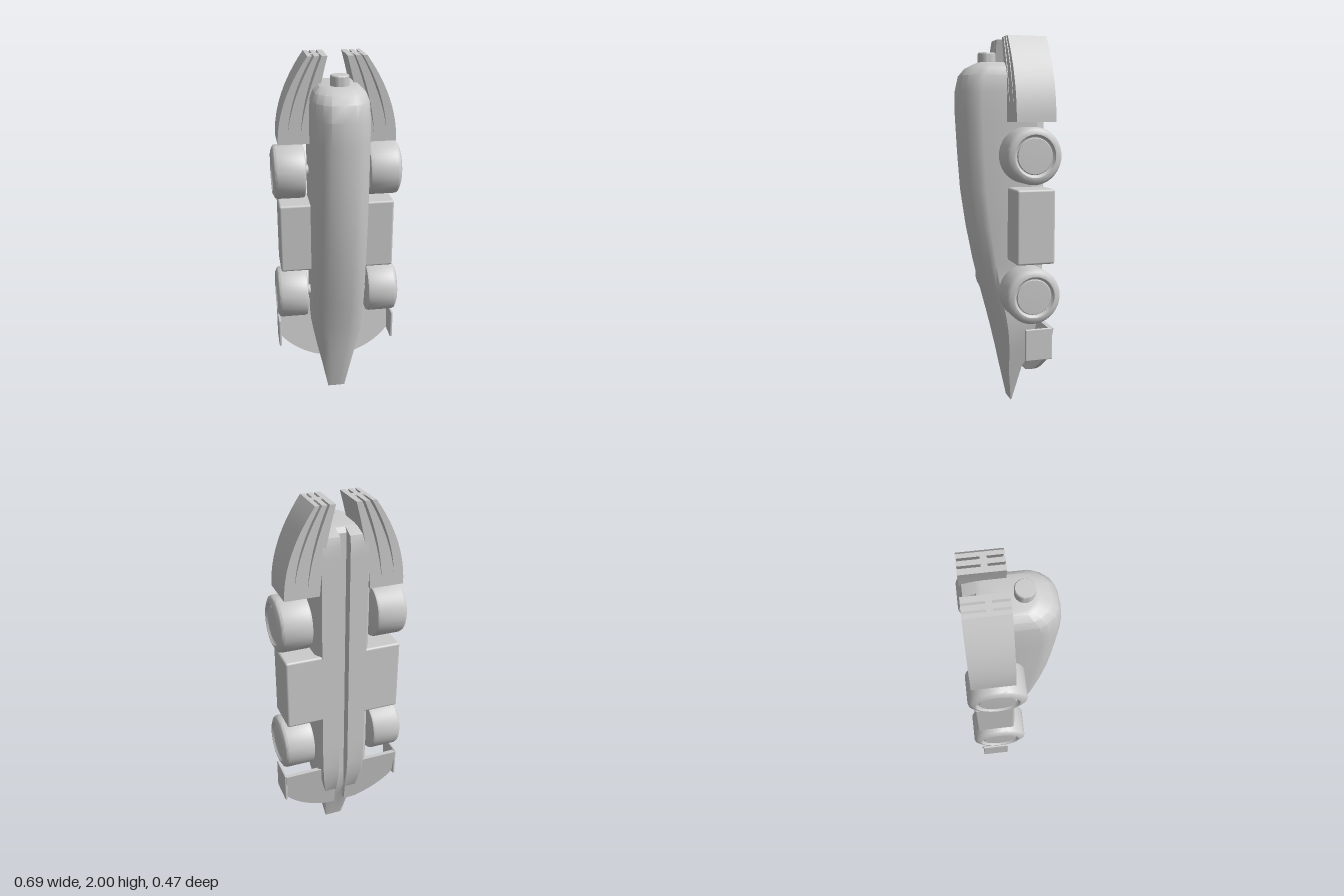
import * as THREE from 'three';
import { toCreasedNormals } from 'three/addons/utils/BufferGeometryUtils.js';
import { RoundedBoxGeometry } from 'three/addons/geometries/RoundedBoxGeometry.js';

const material = new THREE.MeshStandardMaterial({ color: 0xcccccc, side: THREE.DoubleSide });

function part(name, geometry, x = 0, y = 0, z = 0) {
  const mesh = new THREE.Mesh(geometry, material);
  mesh.name = name;
  mesh.position.set(x, y, z);
  return mesh;
}

// Hull lofted through sections: height, half width, front z, back z
function hullGeometry() {
  const stations = [
    [0, 0.05, -0.052, -0.058], [0.2, 0.09, -0.005, -0.11], [0.3, 0.113, 0.015, -0.17],
    [0.42, 0.137, 0.042, -0.2], [0.5, 0.143, 0.062, -0.21], [0.65, 0.147, 0.102, -0.21],
    [0.8, 0.147, 0.14, -0.21], [1, 0.147, 0.18, -0.21], [1.2, 0.147, 0.21, -0.21],
    [1.4, 0.147, 0.225, -0.21], [1.6, 0.147, 0.236, -0.21], [1.72, 0.147, 0.236, -0.21],
    [1.8, 0.142, 0.218, -0.21], [1.84, 0.127, 0.185, -0.2], [1.865, 0.1, 0.135, -0.14],
    [1.87, 0.08, 0.12, -0.12],
  ];
  const positions = [], index = [];
  let n = 0;
  for (const [y, w, front, back] of stations) {
    const floor = Math.max(back, -0.155), depth = front - back;
    const half = [
      [0, floor], [0.025, floor], [0.025, back], [w * 0.82, back], [w, back + depth * 0.1],
      [w, back + depth * 0.77], [w * 0.9, back + depth * 0.85], [w * 0.68, back + depth * 0.94],
      [w * 0.42, back + depth * 0.99], [0, front],
    ];
    const loop = [...half, ...half.slice(1, -1).reverse().map(([x, z]) => [-x, z])];
    n = loop.length;
    for (const [x, z] of loop) positions.push(x, y, z);
  }
  for (let i = 0; i < stations.length - 1; i++) {
    for (let j = 0; j < n; j++) {
      const a = i * n + j, b = i * n + (j + 1) % n;
      index.push(a, a + n, b, b, a + n, b + n);
    }
  }
  // end caps
  for (const i of [0, stations.length - 1]) {
    const [y, , front, back] = stations[i];
    const c = positions.length / 3;
    positions.push(0, y, (front + back) / 2);
    for (let j = 0; j < n; j++) {
      const a = i * n + j, b = i * n + (j + 1) % n;
      if (i === 0) index.push(c, a, b); else index.push(c, b, a);
    }
  }
  const g = new THREE.BufferGeometry();
  g.setAttribute('position', new THREE.Float32BufferAttribute(positions, 3));
  g.setIndex(index);
  return toCreasedNormals(g, 0.5);
}

// Curved tail fin outline, optionally slit from the top into blades
function finGeometry(slits, depth) {
  const steps = 12;
  const point = (f, t) => {
    const outer = 0.31 - 0.16 * t * t, inner = 0.13 - 0.08 * Math.pow(t, 1.5);
    return new THREE.Vector2(inner + (outer - inner) * f, 1.56 + 0.44 * t);
  };
  const pts = [];
  for (let i = 0; i <= steps; i++) pts.push(point(1, i / steps));
  for (const [f, start] of slits) {
    for (let i = steps; i >= 0; i--) {
      const u = i / steps;
      pts.push(point(f + 0.06 * u, start + (1 - start) * u));
    }
    for (let i = 1; i <= steps; i++) {
      const u = i / steps;
      pts.push(point(f - 0.06 * u, start + (1 - start) * u));
    }
  }
  for (let i = steps; i >= 0; i--) pts.push(point(0, i / steps));
  const g = new THREE.ExtrudeGeometry(new THREE.Shape(pts), { depth, bevelEnabled: false });
  return toCreasedNormals(g, 0.5);
}

// Wheel with rounded shoulders and a ring groove around the hub disc
function wheelGeometry() {
  const profile = [
    [0, 0], [0.13, 0], [0.142, 0.004], [0.146, 0.014], [0.146, 0.15], [0.142, 0.16], [0.132, 0.166],
    [0.115, 0.174], [0.108, 0.174], [0.1, 0.162], [0.094, 0.16], [0.09, 0.166], [0, 0.168],
  ].map(([r, h]) => new THREE.Vector2(r, h));
  const g = new THREE.LatheGeometry(profile, 48);
  g.rotateZ(-Math.PI / 2);
  return toCreasedNormals(g, 0.7);
}

// Half of the swept nose wing, leaning back towards its straight edge
function wingGeometry() {
  const shape = new THREE.Shape();
  shape.moveTo(0.03, 0.185);
  shape.lineTo(0.1, 0.19);
  shape.quadraticCurveTo(0.25, 0.235, 0.33, 0.34);
  shape.lineTo(0.33, 0.49);
  shape.lineTo(0.03, 0.49);
  const g = new THREE.ExtrudeGeometry(shape, { depth: 0.025, bevelEnabled: false, curveSegments: 10 });
  const p = g.attributes.position;
  for (let i = 0; i < p.count; i++) {
    p.setZ(i, p.getZ(i) - 0.15 - 0.05 * (p.getY(i) - 0.19) / 0.3);
  }
  return toCreasedNormals(g, 0.5);
}

// Everything on the model's left side; the right side is its mirror
function buildSide(name) {
  const side = new THREE.Group();
  side.name = name;
  side.add(part('sidePod', new RoundedBoxGeometry(0.215, 0.39, 0.206, 2, 0.012), 0.2075, 1.025, -0.107));

  for (const [label, y] of [['front', 0.665], ['rear', 1.39]]) {
    side.add(part(label + 'Wheel', wheelGeometry(), 0.17, y, -0.09));
    const axle = new THREE.CylinderGeometry(0.03, 0.03, 0.08, 20);
    axle.rotateZ(Math.PI / 2);
    side.add(part(label + 'Axle', axle, 0.15, y, -0.09));
  }

  side.add(part('noseWing', wingGeometry()));
  side.add(part('wingEndPlate', new RoundedBoxGeometry(0.014, 0.17, 0.148, 2, 0.005), 0.333, 0.41, -0.117));

  side.add(part('tailFin', finGeometry([[0.72, 0.15], [0.35, 0.1]], 0.21), 0, 0, -0.21));
  side.add(part('finWeb', finGeometry([], 0.03), 0, 0, -0.108));
  return side;
}

export function createModel() {
  const model = new THREE.Group();
  model.name = 'dragRacer';
  model.add(part('hull', hullGeometry()));

  // Short nozzle on the tail
  const nozzle = new THREE.LatheGeometry(
    [[0.047, 0], [0.047, 0.056], [0.043, 0.062], [0, 0.062]].map(([r, h]) => new THREE.Vector2(r, h)), 32);
  model.add(part('nozzle', toCreasedNormals(nozzle, 0.5), 0, 1.86, 0.07));

  const left = buildSide('leftSide');
  const right = buildSide('rightSide');
  right.scale.x = -1;
  model.add(left, right);
  return model;
}
